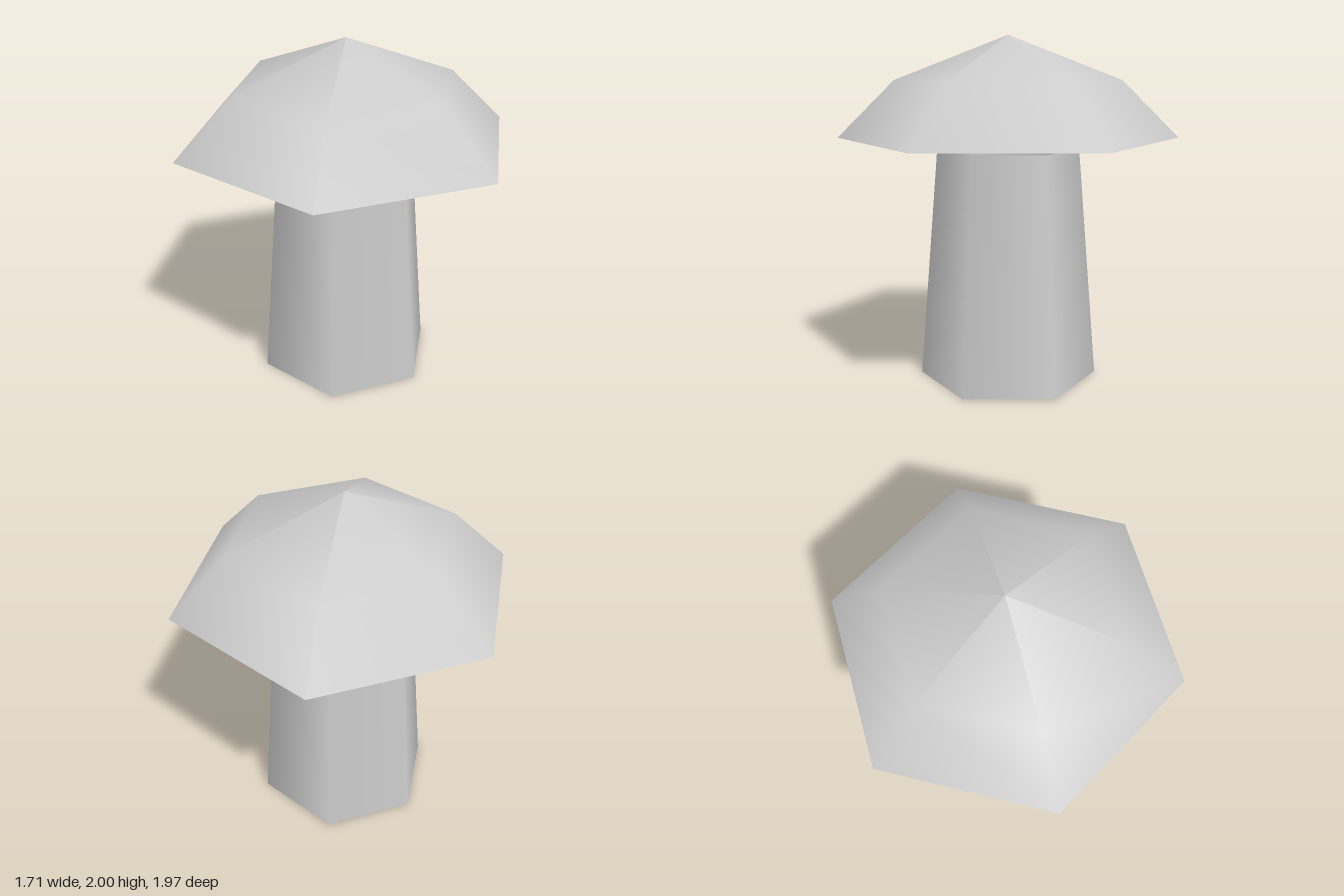
import * as THREE from 'three';

const SIDES = 6;

// Open six-sided shell turned around y from [radius, height] points
function shell(name, profile, material) {
  const points = profile.map(([r, y]) => new THREE.Vector2(r, y));
  const mesh = new THREE.Mesh(new THREE.LatheGeometry(points, SIDES), material);
  mesh.name = name;
  return mesh;
}

export function createModel() {
  const grey = new THREE.MeshStandardMaterial({ color: 0xcccccc, side: THREE.DoubleSide });
  grey.name = 'light grey';

  const group = new THREE.Group();
  group.name = 'mushroom';

  // Tapered hollow stem, open at both ends
  group.add(shell('stem', [[0.52, 0], [0.412, 1.35]], grey));

  // Hollow domed cap floating just above the stem
  group.add(shell('cap', [[0.987, 1.415], [0.655, 1.745], [0, 2]], grey));

  return group;
}
